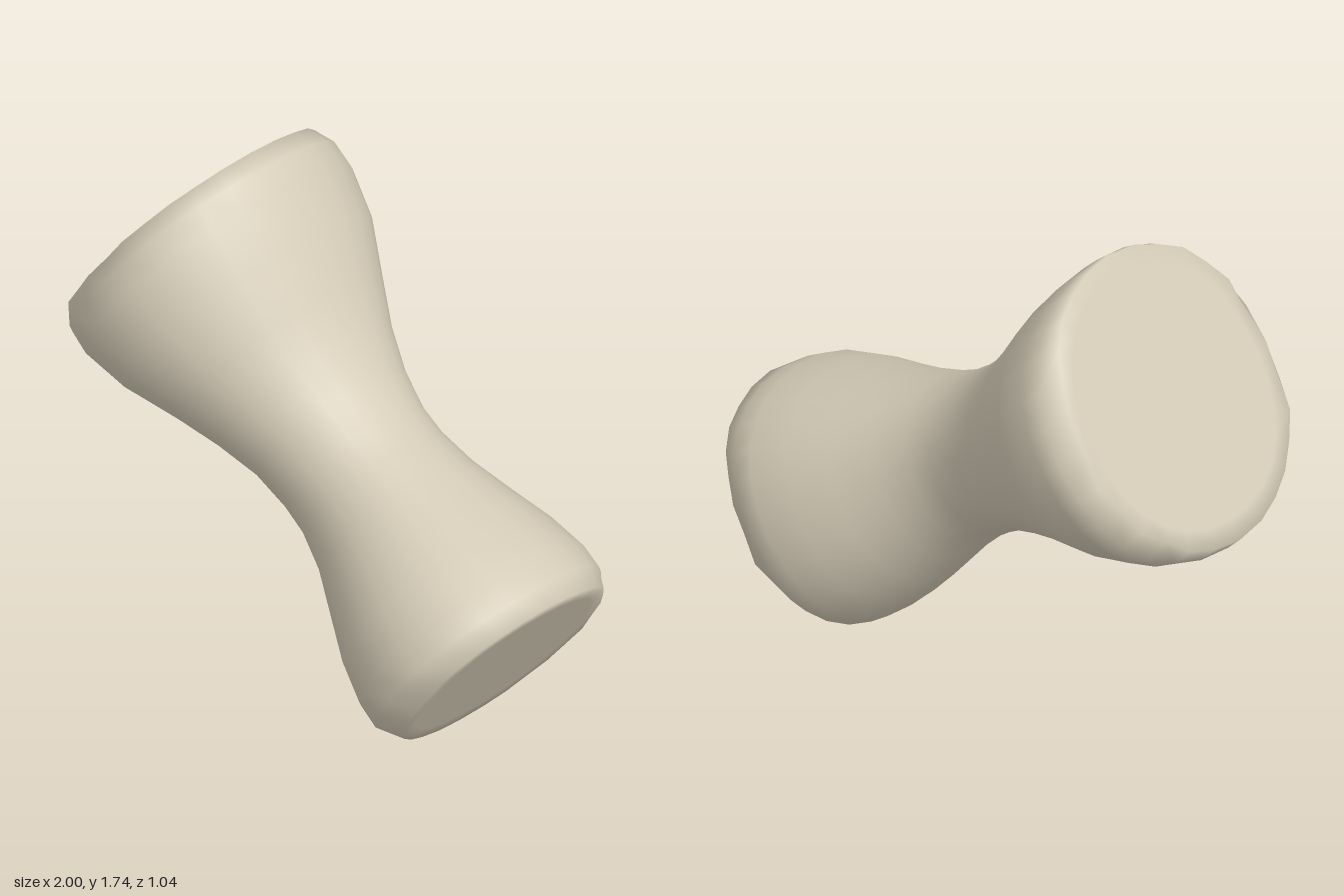
import * as THREE from 'three';

// Sections along the slanted axis: upper edge x, y, lower edge x, y, half depth in z
const SECTIONS = [
  [-0.44, 1.74, -1.0, 0.88, 0.47],
  [-0.39, 1.7, -0.95, 0.83, 0.51],
  [-0.33, 1.64, -0.87, 0.79, 0.52],
  [-0.22, 1.5, -0.7, 0.75, 0.49],
  [-0.11, 1.325, -0.5, 0.72, 0.41],
  [-0.015, 1.195, -0.35, 0.68, 0.345],
  [0.09, 1.09, -0.2, 0.63, 0.295],
  [0.2, 1.01, -0.08, 0.56, 0.272],
  [0.3, 0.965, 0.0, 0.5, 0.27],
  [0.43, 0.92, 0.1, 0.4, 0.295],
  [0.58, 0.875, 0.2, 0.28, 0.35],
  [0.73, 0.835, 0.3, 0.16, 0.405],
  [0.87, 0.79, 0.4, 0.06, 0.435],
  [0.94, 0.75, 0.47, 0.01, 0.435],
  [1.0, 0.71, 0.57, 0.0, 0.4],
];
const SIDES = 28;

// Slightly squared ellipse; "chip" pulls some rim points inwards
function ring([tx, ty, bx, by, depth], scale = 1, chip = 0) {
  const soften = (v) => Math.sign(v) * Math.abs(v) ** 0.92;
  return Array.from({ length: SIDES }, (_, i) => {
    const a = (i / SIDES) * Math.PI * 2;
    const wobble = 0.5 + 0.5 * Math.sin(i * 2.3) * Math.cos(i * 1.1);
    const s = scale * (1 - chip * wobble * Math.abs(Math.sin(a)));
    const c = soften(Math.cos(a)) * s;
    return new THREE.Vector3(
      (tx + bx) / 2 + (c * (tx - bx)) / 2,
      Math.max(0, (ty + by) / 2 + (c * (ty - by)) / 2),
      soften(Math.sin(a)) * s * depth
    );
  });
}

function geometryFrom(points, index) {
  const geometry = new THREE.BufferGeometry().setFromPoints(points);
  geometry.setIndex(index);
  geometry.computeVertexNormals();
  return geometry;
}

// Closed tube of faces through successive rings
function loft(rings) {
  const index = [];
  for (let r = 0; r < rings.length - 1; r++) {
    for (let i = 0; i < SIDES; i++) {
      const j = (i + 1) % SIDES;
      const a = r * SIDES + i, b = r * SIDES + j;
      const c = a + SIDES, d = b + SIDES;
      index.push(a, b, c, b, d, c);
    }
  }
  return geometryFrom(rings.flat(), index);
}

// Flat fan that closes one end
function fan(points, reversed) {
  const centre = new THREE.Vector3();
  points.forEach((p) => centre.addScaledVector(p, 1 / SIDES));
  const index = [];
  for (let i = 0; i < SIDES; i++) {
    const j = (i + 1) % SIDES;
    index.push(SIDES, reversed ? j : i, reversed ? i : j);
  }
  return geometryFrom([...points, centre], index);
}

export function createModel() {
  const group = new THREE.Group();
  group.name = 'waistedColumn';
  const stone = new THREE.MeshStandardMaterial({ color: 0xd3cab6 });
  stone.name = 'pale stone';

  const add = (name, geometry) => {
    const mesh = new THREE.Mesh(geometry, stone);
    mesh.name = name;
    group.add(mesh);
  };

  // Outer rings with worn rims, plus an inner ring on each end face
  const last = SECTIONS.length - 1;
  const outer = SECTIONS.map((s, i) => ring(s, 1, i === 0 || i === last ? 0.07 : 0));
  const largeEnd = ring(SECTIONS[0], 0.86);
  const smallEnd = ring(SECTIONS[last], 0.84);

  add('body', loft([largeEnd, ...outer, smallEnd]));
  add('largeEndFace', fan(largeEnd, true));
  add('smallEndFace', fan(smallEnd, false));
  return group;
}
